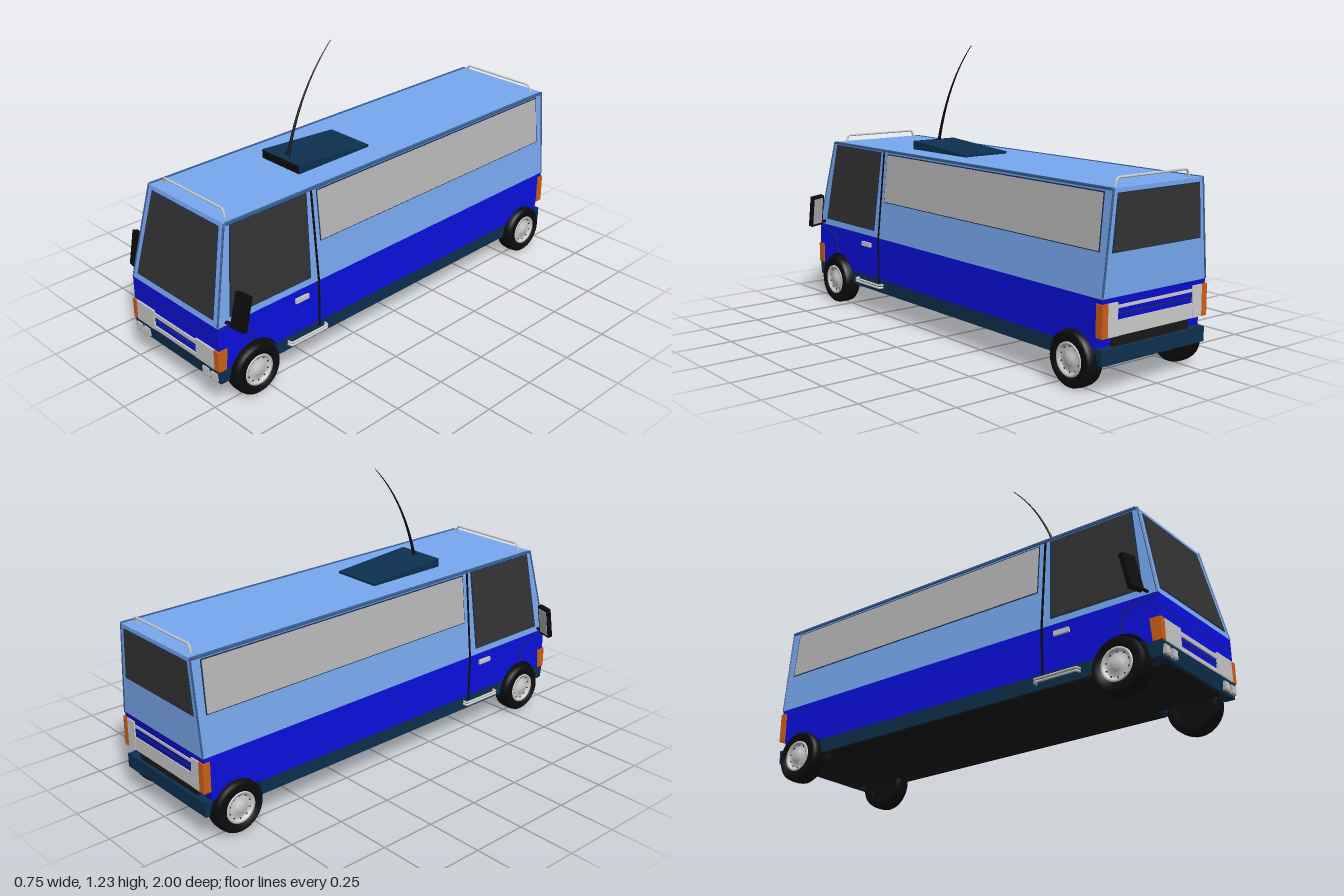
import * as THREE from 'three';

const COL = { sky: 0x78a8f0, blue: 0x0b10e0, navy: 0x0d3050, orange: 0xd06018, glass: 0x333333,
  black: 0x0c0c0c, under: 0x181818, edge: 0x1c3050, trim: 0x3a5f95, grey: 0xcccccc, panel: 0xb8b8b8 };
const mats = {};
const mat = (c) => (mats[c] ??= new THREE.MeshStandardMaterial({ color: COL[c], side: THREE.DoubleSide }));

// Body surface as a function of height: straight below the waist, leaning in above it
const WAIST = 0.36, ROOF = 0.76;
const lean = (y) => Math.max(0, (y - WAIST) / (ROOF - WAIST));
const sideX = (y) => 0.275 - 0.04 * lean(y);
const frontZ = (y) => 0.985 - 0.085 * lean(y);
const backZ = (y) => 0.985 + 0.01 * lean(y);

export function createModel() {
  const van = new THREE.Group();
  van.name = 'van';

  const add = (name, geo, c, x = 0, y = 0, z = 0, parent = van) => {
    const m = new THREE.Mesh(geo, mat(c));
    m.name = name;
    m.position.set(x, y, z);
    parent.add(m);
    return m;
  };
  const box = (name, c, w, h, d, x, y, z, parent) => add(name, new THREE.BoxGeometry(w, h, d), c, x, y, z, parent);
  const shapeOf = (pts) => new THREE.Shape(pts.map((p) => new THREE.Vector2(...p)));
  const rect = (a, b, y0, y1) => [[a, y0], [b, y0], [b, y1], [a, y1]];
  const move = (geo, rule) => {
    const p = geo.attributes.position;
    for (let i = 0; i < p.count; i++) p.setXYZ(i, ...rule(p.getX(i), p.getY(i), p.getZ(i)));
    geo.computeVertexNormals();
    return geo;
  };

  // Thin panel laid on a body side (s = 1 left, -1 right); points are (z, y)
  const sidePanel = (name, c, s, pts, t = 0.004) => {
    const geo = new THREE.ExtrudeGeometry(shapeOf(pts.map(([z, y]) => [-s * z, y])), { depth: t, bevelEnabled: false });
    geo.rotateY(s * Math.PI / 2);
    add(name, move(geo, (x, y, z) => [x + s * sideX(y), y, z]), c);
  };
  // Thin panel laid on the front (s = 1) or back (s = -1); points are (x, y)
  const endPanel = (name, c, s, pts, t = 0.004) => {
    const geo = new THREE.ExtrudeGeometry(shapeOf(pts.map(([x, y]) => [s * x, y])), { depth: t, bevelEnabled: false });
    if (s < 0) geo.rotateY(Math.PI);
    add(name, move(geo, (x, y, z) => [x, y, z + (s > 0 ? frontZ(y) : -backZ(y))]), c);
  };
  // Body band: side outline (z, y) extruded across the width, then leaned in
  const band = (name, c, shapes) => {
    const geo = new THREE.ExtrudeGeometry(shapes, { depth: 2, bevelEnabled: false, curveSegments: 20 });
    geo.translate(0, 0, -1).rotateY(-Math.PI / 2);
    add(name, move(geo, (x, y, z) => [x * sideX(y), y, z]), c);
  };
  const tube = (name, c, pts, r, curved = false) => {
    const v = pts.map((p) => new THREE.Vector3(...p));
    add(name, new THREE.TubeGeometry(new THREE.CatmullRomCurve3(v, false, 'catmullrom', curved ? 0.5 : 0.05), 40, r, 8), c);
  };

  // Body bands with wheel arches
  const axles = [-0.84, 0.815], R = 0.125;
  band('skirt', 'navy', [
    [[-0.985, 0.11], [-0.965, 0.11], [-0.95, 0.17], [-0.985, 0.17]],
    [[-0.715, 0.11], [0.69, 0.11], [0.705, 0.17], [-0.73, 0.17]],
    [[0.94, 0.11], [0.982, 0.11], [0.99, 0.17], [0.925, 0.17]],
  ].map(shapeOf));
  const lower = new THREE.Shape().moveTo(-0.985, 0.17);
  for (const z of axles) lower.absarc(z, 0.11, R, Math.PI - 0.5, 0.5, true);
  lower.lineTo(0.985, 0.17).lineTo(0.985, WAIST).lineTo(-0.985, WAIST);
  band('lowerBody', 'blue', lower);
  band('upperBody', 'sky', shapeOf([[-0.985, WAIST], [0.985, WAIST], [0.9, ROOF], [-0.995, ROOF]]));

  // Underside and wheel arch liners
  box('floor', 'under', 0.54, 0.004, 1.39, 0, 0.109, -0.012);
  box('chassis', 'under', 0.4, 0.15, 1.94, 0, 0.183, 0);
  for (const z of axles) {
    const liner = new THREE.CylinderGeometry(R - 0.001, R - 0.001, 0.552, 24, 1, true, 0, Math.PI);
    add('archLiner', liner.rotateZ(Math.PI / 2), 'black', 0, 0.11, z);
  }

  // Wheels
  const tyre = [[0.065, -0.036], [0.1, -0.04], [0.108, -0.032], [0.111, -0.015], [0.111, 0.015],
    [0.108, 0.032], [0.1, 0.04], [0.068, 0.036], [0.065, 0.02]].map((p) => new THREE.Vector2(...p));
  const rim = [[0, 0.04], [0.018, 0.04], [0.022, 0.034], [0.045, 0.028], [0.054, 0.03], [0.058, 0.039],
    [0.067, 0.039], [0.068, 0.03]].map((p) => new THREE.Vector2(...p));
  for (const z of axles) for (const s of [1, -1]) {
    const wheel = new THREE.Group();
    wheel.name = 'wheel';
    wheel.position.set(s * 0.266, 0.111, z);
    wheel.rotation.z = -s * Math.PI / 2;
    add('tyre', new THREE.LatheGeometry(tyre, 32), 'black', 0, 0, 0, wheel);
    add('rim', new THREE.LatheGeometry(rim, 32), 'grey', 0, 0, 0, wheel);
    add('innerDisc', new THREE.CylinderGeometry(0.066, 0.066, 0.02, 24), 'black', 0, -0.02, 0, wheel);
    for (let i = 0; i < 10; i++) {
      const a = i * Math.PI / 5;
      box('rimHole', 'glass', 0.006, 0.004, 0.006, 0.05 * Math.cos(a), 0.029, 0.05 * Math.sin(a), wheel);
    }
    van.add(wheel);
  }

  for (const s of [1, -1]) {
    // Side windows, door lines and marker lamps
    sidePanel('cabWindowSeal', 'edge', s, [[0.924, 0.388], [0.877, 0.748], [0.494, 0.748], [0.51, 0.388]], 0.002);
    sidePanel('cabWindow', 'glass', s, [[0.918, 0.394], [0.872, 0.743], [0.5, 0.743], [0.516, 0.394]]);
    sidePanel('sidePanelSeal', 'edge', s, rect(-0.951, 0.444, 0.526, 0.745), 0.002);
    sidePanel('sidePanel', 'panel', s, rect(-0.946, 0.44, 0.53, 0.74));
    sidePanel('doorLineLower', 'black', s, rect(0.466, 0.475, 0.15, WAIST), 0.003);
    sidePanel('doorLineUpper', 'black', s, rect(0.466, 0.475, WAIST, 0.75), 0.003);
    sidePanel('frontDoorLine', 'edge', s, [[0.822, 0.235], [0.826, 0.235], [0.838, 0.316], [0.98, 0.352], [0.98, 0.356], [0.834, 0.32]], 0.002);
    sidePanel('frontMarker', 'orange', s, [[0.987, 0.17], [0.955, 0.17], [0.947, 0.26], [0.987, 0.26]], 0.005);
    sidePanel('rearMarker', 'orange', s, rect(-0.989, -0.958, 0.215, 0.342), 0.005);

    // Gutter along the roof edge and trim on the windscreen pillar
    box('gutter', 'trim', 0.012, 0.01, 1.885, s * 0.237, 0.757, -0.048);
    tube('pillarTrim', 'trim', [[s * 0.274, WAIST, 0.984], [s * 0.235, ROOF, 0.9]], 0.004);
    tube('rearPillarTrim', 'trim', [[s * 0.274, WAIST, -0.985], [s * 0.235, ROOF, -0.994]], 0.004);

    // Door handle and step bars
    box('doorHandle', 'grey', 0.012, 0.02, 0.07, s * 0.279, 0.318, 0.565);
    for (const y of [0.136, 0.148])
      tube('step', 'grey', [[s * 0.27, y, 0.44], [s * 0.295, y, 0.445], [s * 0.295, y, 0.635], [s * 0.27, y, 0.64]], 0.005);

    // Mirror on its arm
    const mirror = new THREE.Group();
    mirror.name = 'mirror';
    mirror.position.set(s * 0.336, 0.434, 0.917);
    mirror.rotation.set(-0.2, s * 0.2, -s * 0.03);
    box('mirrorHousing', 'black', 0.066, 0.148, 0.022, 0, 0, 0, mirror);
    box('mirrorGlass', 'panel', 0.052, 0.126, 0.004, 0, 0, -0.011, mirror);
    van.add(mirror);
    tube('mirrorArm', 'black', [[s * 0.265, 0.372, 0.945], [s * 0.325, 0.377, 0.928]], 0.007);

    // Lamps at both ends
    endPanel('headlamp', 'grey', 1, rect(s * 0.137, s * 0.252, 0.172, 0.26), 0.008);
    endPanel('turnSignal', 'orange', 1, rect(s * 0.252, s * 0.279, 0.172, 0.26), 0.008);
    endPanel('tailLamp', 'grey', -1, rect(s * 0.2, s * 0.25, 0.215, 0.342), 0.006);
    endPanel('rearSignal', 'orange', -1, rect(s * 0.25, s * 0.279, 0.215, 0.342), 0.006);
    for (const x of [0.195, 0.246]) {
      box('fogLamp', 'panel', 0.036, 0.036, 0.016, s * x, 0.138, 0.988);
      box('fogLampLens', 'grey', 0.026, 0.026, 0.004, s * x, 0.138, 0.996);
    }
  }

  // Windscreen, rear window, grilles
  const trapezoid = (b, t, y0, y1) => [[-b, y0], [b, y0], [t, y1], [-t, y1]];
  endPanel('windscreenSeal', 'edge', 1, trapezoid(0.246, 0.209, 0.385, 0.743), 0.002);
  endPanel('windscreen', 'glass', 1, trapezoid(0.242, 0.205, 0.39, 0.738));
  endPanel('rearWindowSeal', 'edge', -1, trapezoid(0.235, 0.216, 0.525, 0.743), 0.002);
  endPanel('rearWindow', 'glass', -1, trapezoid(0.23, 0.212, 0.53, 0.738));
  for (const [y0, y1] of [[0.172, 0.189], [0.232, 0.25]]) endPanel('grilleBar', 'grey', 1, rect(-0.14, 0.14, y0, y1), 0.006);
  endPanel('grilleLine', 'edge', 1, rect(-0.14, 0.14, 0.212, 0.217), 0.003);
  endPanel('bonnetLine', 'edge', 1, rect(-0.27, 0.27, 0.305, 0.308), 0.001);
  endPanel('rearPlate', 'grey', -1, rect(-0.2, 0.2, 0.215, 0.275));
  endPanel('rearBar', 'grey', -1, rect(-0.2, 0.2, 0.318, 0.33));
  endPanel('rearLine', 'edge', -1, rect(-0.2, 0.2, 0.295, 0.299), 0.002);

  // Roof rails at each end
  for (const z of [0.862, -0.96])
    tube('roofRail', 'grey', [[-0.195, 0.755, z], [-0.187, 0.784, z], [-0.177, 0.791, z], [0.177, 0.791, z], [0.187, 0.784, z], [0.195, 0.755, z]], 0.005);

  // Wedge-shaped roof hatch
  const hatch = new THREE.BoxGeometry(0.226, 0.04, 0.39);
  add('roofHatch', move(hatch, (x, y, z) => [x, y > 0 ? (z > 0 ? 0.798 : 0.77) : 0.755, z + 0.225]), 'navy');
  box('hatchFront', 'black', 0.222, 0.034, 0.004, 0, 0.778, 0.42);

  // Bent whip antenna, thinning to the tip
  const path = new THREE.QuadraticBezierCurve3(new THREE.Vector3(0, 0.785, 0.38),
    new THREE.Vector3(0, 1.06, 0.31), new THREE.Vector3(0, 1.23, 0.135));
  const whip = new THREE.TubeGeometry(path, 24, 0.007, 8), wp = whip.attributes.position;
  for (let i = 0; i < wp.count; i++) {
    const t = Math.floor(i / 9) / 24, c = path.getPointAt(t);
    const v = new THREE.Vector3().fromBufferAttribute(wp, i).sub(c).multiplyScalar(1 - 0.8 * t).add(c);
    wp.setXYZ(i, v.x, v.y, v.z);
  }
  add('antenna', whip, 'black');
  add('antennaBase', new THREE.CylinderGeometry(0.008, 0.012, 0.015, 12), 'black', 0, 0.798, 0.38);

  return van;
}
